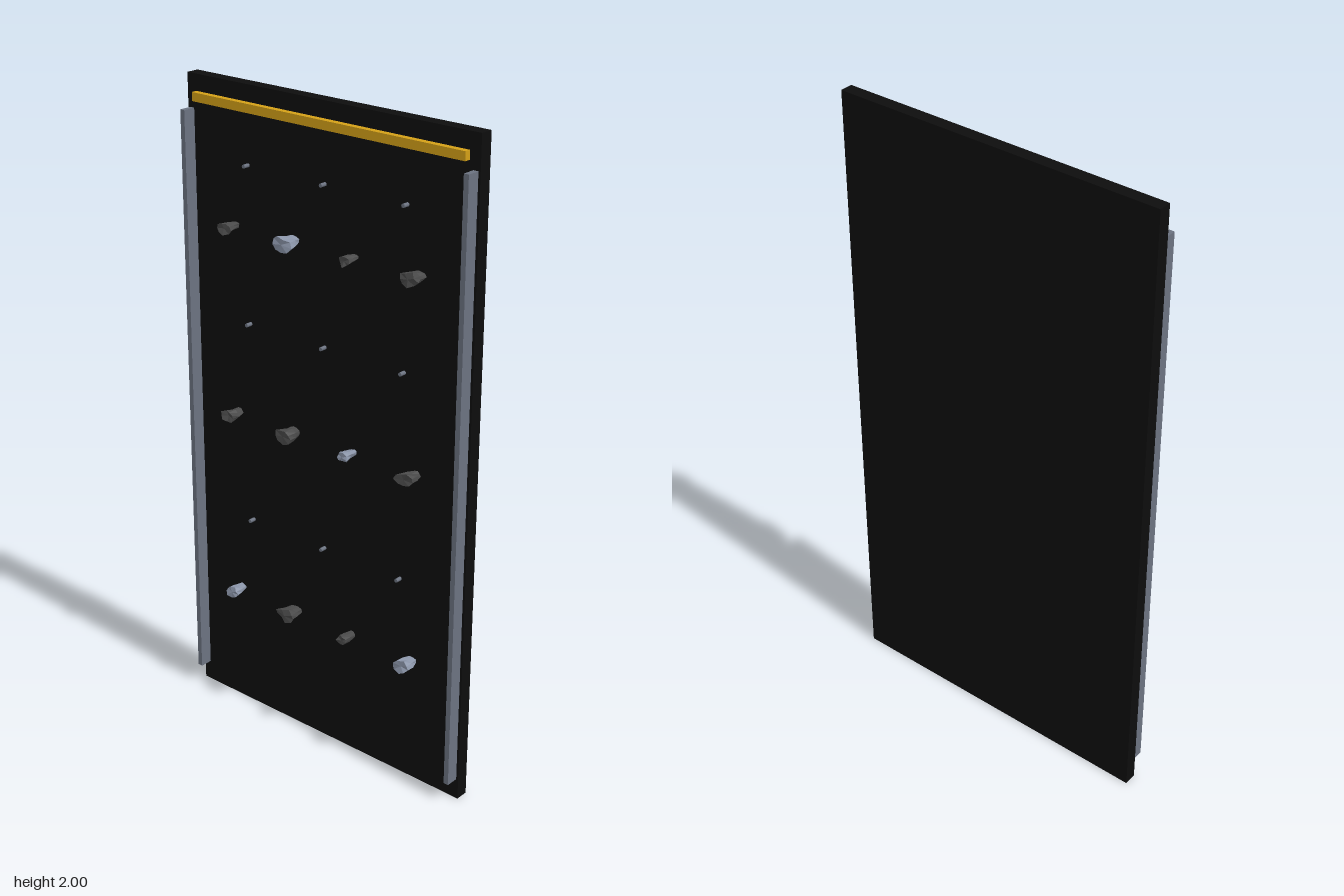
import * as THREE from 'three';

const mat = (name, color, flatShading = false) => {
  const m = new THREE.MeshStandardMaterial({ color, flatShading });
  m.name = name;
  return m;
};

// Repeatable value in -1..1 from a position and a seed
const jitter = (x, y, z, seed) => {
  const s = Math.sin(Math.round(x * 50) * 12.9 + Math.round(y * 50) * 78.2 + Math.round(z * 50) * 37.7 + seed * 4.1) * 43758.5;
  return (s - Math.floor(s)) * 2 - 1;
};

// Rough stone: narrow at the wall, flared toward the front, flat facets
function rockGeometry(w, h, depth, seed) {
  const g = new THREE.CylinderGeometry(0.82, 0.5, 1, 9, 2);
  g.rotateX(Math.PI / 2);
  const p = g.attributes.position;
  for (let i = 0; i < p.count; i++) {
    const x = p.getX(i), y = p.getY(i), z = p.getZ(i);
    const k = 1 + 0.22 * jitter(x, y, z, seed);
    const dz = z > 0.4 ? 0.1 * jitter(y, z, x, seed + 3) : 0;
    p.setXYZ(i, x * k * w / 1.7, y * k * h / 1.7, (z + 0.5 + dz) * depth);
  }
  g.computeVertexNormals();
  return g;
}

export function createModel() {
  const model = new THREE.Group();
  const black = mat('panelBlack', 0x0d0d0d);
  const steel = mat('railGrey', 0x6b7280);
  const gold = mat('trimGold', 0xd4a017);
  const darkRock = mat('darkStone', 0x4a4a4a, true);
  const paleRock = mat('paleStone', 0x8a94a8, true);
  const wall = -0.01;

  const add = (name, geometry, material, x, y, z) => {
    const mesh = new THREE.Mesh(geometry, material);
    mesh.name = name;
    mesh.position.set(x, y, z);
    model.add(mesh);
    return mesh;
  };

  // Backing panel and top trim
  add('panel', new THREE.BoxGeometry(1.04, 2, 0.04), black, 0, 1, -0.03);
  add('topTrim', new THREE.BoxGeometry(0.97, 0.026, 0.019), gold, 0, 1.938, 0);

  // Side rails
  for (const side of [-1, 1]) {
    add(side > 0 ? 'leftRail' : 'rightRail', new THREE.BoxGeometry(0.016, 1.835, 0.04), steel, side * 0.505, 0.983, 0.01);
  }

  // Stones: four columns by three rows, a few of them pale
  const columns = [[-0.34, 0.05, 0.035], [-0.115, 0.066, 0.045], [0.11, 0.04, 0.032], [0.335, 0.062, 0.04]];
  const pale = ['0,0', '3,0', '2,1', '1,2'];
  [0.402, 1.002, 1.586].forEach((y, row) => {
    columns.forEach(([x, w, h], col) => {
      const material = pale.includes(`${col},${row}`) ? paleRock : darkRock;
      add('stone', rockGeometry(w, h, 0.053, row * 4 + col + 1), material, x, y, wall);
    });
  });

  // Small studs between the stone rows
  for (const y of [0.655, 1.294, 1.77]) {
    for (const x of [-0.288, 0, 0.288]) {
      const stud = add('stud', new THREE.CylinderGeometry(0.006, 0.006, 0.02, 8), steel, x, y, 0);
      stud.rotation.x = Math.PI / 2;
    }
  }
  return model;
}
